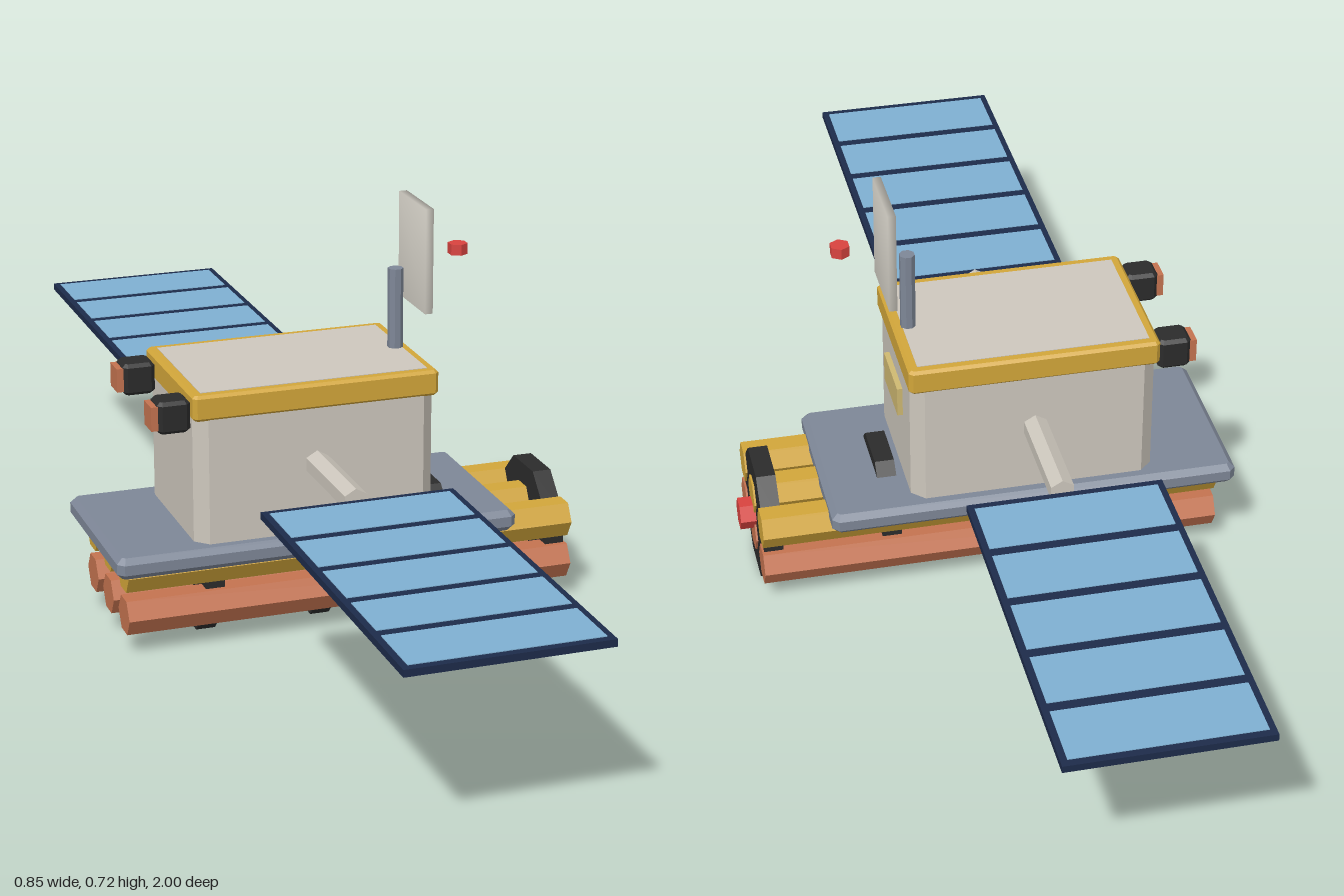
import * as THREE from 'three';
import { mergeVertices } from 'three/addons/utils/BufferGeometryUtils.js';

const mat = (name, color, flatShading = false) => {
  const m = new THREE.MeshStandardMaterial({ color });
  m.name = name;
  m.flatShading = flatShading;
  return m;
};

// Box with cut vertical corners and an optional small bevel at top and bottom
function cutBox(w, h, d, cut, bevel) {
  const a = w / 2 - bevel, b = d / 2 - bevel;
  const shape = new THREE.Shape([
    [a, -b + cut], [a, b - cut], [a - cut, b], [-a + cut, b],
    [-a, b - cut], [-a, -b + cut], [-a + cut, -b], [a - cut, -b],
  ].map(([x, y]) => new THREE.Vector2(x, y)));
  const g = new THREE.ExtrudeGeometry(shape, {
    depth: h - 2 * bevel, bevelEnabled: bevel > 0,
    bevelThickness: bevel, bevelSize: bevel, bevelSegments: 1,
  });
  g.translate(0, 0, -h / 2 + bevel);
  return g.rotateX(-Math.PI / 2);
}

// Prism lying along x, with a corner facing +z unless turned
function prismX(radius, length, sides, turn = 0) {
  return new THREE.CylinderGeometry(radius, radius, length, sides)
    .rotateY(turn).rotateZ(Math.PI / 2);
}

export function createModel() {
  const root = new THREE.Group();
  root.name = 'satellite';

  const gold = mat('gold', 0xd2a63a, true);
  const copper = mat('copper', 0xc47350, true);
  const black = mat('black', 0x2b2b2b, true);
  const slate = mat('slate', 0x7e8797, true);
  const lightGrey = mat('lightGrey', 0xcdc7bd, true);
  const dishWhite = mat('dishWhite', 0xdedad0);
  const red = mat('red', 0xd8433f, true);
  const navy = mat('navy', 0x1d2b4a, true);
  const blue = mat('blue', 0x7fb0d2, true);
  const paleGold = mat('paleGold', 0xcfb972, true);

  const add = (name, geometry, material, x, y, z) => {
    const mesh = new THREE.Mesh(geometry, material);
    mesh.name = name;
    mesh.position.set(x, y, z);
    root.add(mesh);
    return mesh;
  };

  // Two rows of long six-sided tubes
  for (const z of [-0.1, 0, 0.1]) {
    add('upperTube', prismX(0.035, 0.806, 6), gold, -0.002, 0.147, z);
    add('lowerTube', prismX(0.035, 0.806, 6), copper, -0.002, 0.07, z);
  }

  // Eight-sided bands holding the tubes
  for (let i = 0; i < 4; i++) {
    add('band', prismX(0.1165, 0.034, 8, Math.PI / 8), black, -0.245 + i * 0.2085, 0.1076, 0);
  }
  add('endCap', prismX(0.028, 0.03, 6), red, 0.41, 0.109, 0);

  // Deck, cabin and roof
  add('deck', cutBox(0.714, 0.038, 0.33, 0.005, 0.01), slate, -0.0725, 0.176, 0);
  add('cabin', cutBox(0.426, 0.23, 0.282, 0.022, 0), lightGrey, -0.0725, 0.308, 0);
  add('roof', cutBox(0.435, 0.045, 0.29, 0.004, 0.005), gold, -0.0725, 0.4375, 0);
  add('roofPanel', new THREE.BoxGeometry(0.402, 0.004, 0.256), lightGrey, -0.0725, 0.459, 0);
  add('window', new THREE.BoxGeometry(0.0099, 0.054, 0.116), paleGold, 0.145, 0.344, 0);

  // Arms and solar panels on both sides
  for (const s of [-1, 1]) {
    add('arm', new THREE.CylinderGeometry(0.0225, 0.0225, 0.205, 6).rotateX(Math.PI / 2),
      lightGrey, -0.073, 0.318, s * 0.2325);
    add('panelFrame', new THREE.BoxGeometry(0.332, 0.012, 0.654), navy, -0.074, 0.319, s * 0.673);
    for (let i = 0; i < 5; i++) {
      add('solarCell', new THREE.BoxGeometry(0.31, 0.0145, 0.11), blue,
        -0.074, 0.319, s * (0.673 + (i - 2) * 0.1295));
    }
    // Rear sensors
    add('sensorBody', cutBox(0.057, 0.056, 0.054, 0.004, 0.006), black, -0.319, 0.423, s * 0.106);
    add('sensorLens', new THREE.BoxGeometry(0.016, 0.042, 0.042), copper, -0.35, 0.423, s * 0.106);
  }

  // Mast, four-sided dish with soft shading, and its feed
  add('mast', new THREE.CylinderGeometry(0.0135, 0.0135, 0.15, 8).rotateY(Math.PI / 8),
    slate, 0.118, 0.528, 0);
  const plate = prismX(Math.SQRT1_2, 0.014, 4, Math.PI / 4).scale(1, 0.185, 0.13);
  plate.deleteAttribute('uv');
  plate.deleteAttribute('normal');
  const dish = mergeVertices(plate, 1e-4);
  dish.computeVertexNormals();
  add('dish', dish, dishWhite, 0.155, 0.6275, 0);
  add('dishFeed', new THREE.CylinderGeometry(0.0175, 0.0175, 0.019, 6), red, 0.232, 0.6275, 0);

  return root;
}
